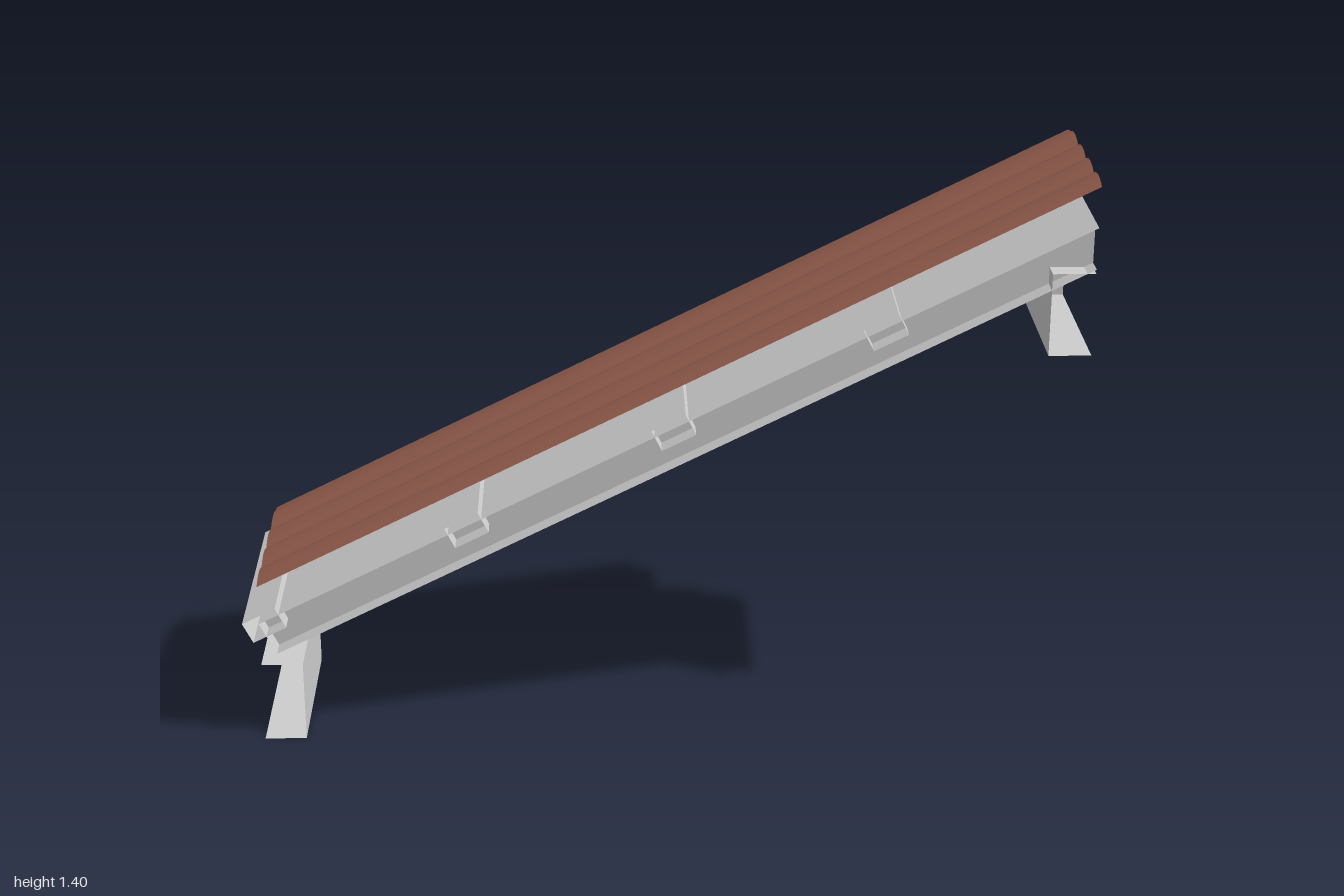
import * as THREE from 'three';
import { toCreasedNormals } from 'three/addons/utils/BufferGeometryUtils.js';

export function createModel() {
  const model = new THREE.Group();
  const grey = new THREE.MeshStandardMaterial({ color: 0xcccccc, side: THREE.DoubleSide });
  grey.name = 'structure grey';
  const brown = new THREE.MeshStandardMaterial({ color: 0x935d4d, side: THREE.DoubleSide });
  brown.name = 'tile brown';

  const FRONT = 0.27, LOW = -0.96, HIGH = 1;
  // point on a line parallel to the roof slope, at a given height offset
  const on = (x, offset) => [x, 0.5 * x + offset];

  // surface ruled between two rows of 3D points
  function ruled(a, b) {
    const p = [];
    for (let i = 0; i < a.length - 1; i++) {
      p.push(...a[i], ...b[i], ...a[i + 1], ...a[i + 1], ...b[i], ...b[i + 1]);
    }
    const g = new THREE.BufferGeometry();
    g.setAttribute('position', new THREE.Float32BufferAttribute(p, 3));
    return toCreasedNormals(g, 0.5);
  }
  function add(parent, name, geometry, material = grey) {
    const m = new THREE.Mesh(geometry, material);
    m.name = name;
    parent.add(m);
  }
  // folded sheet: an x-y outline carried along z
  const fold = (pts, z0, z1) => ruled(pts.map(p => [...p, z0]), pts.map(p => [...p, z1]));
  // flat plate: an x-y outline at one z
  function plate(pts, z) {
    const g = new THREE.ShapeGeometry(new THREE.Shape(pts.map(p => new THREE.Vector2(...p))));
    return g.translate(0, 0, z);
  }
  function group(name) {
    const g = new THREE.Group();
    g.name = name;
    model.add(g);
    return g;
  }

  // Wavy tile sheet: arches across the slope, last one turned down at the back edge
  const section = [];
  for (let k = 0; k < 4; k++) {
    for (let i = 0; i < 8; i++) {
      const t = i / 8;
      section.push([FRONT - 0.111 * (k + t), 0.888 + 0.048 * t * (1 - t)]);
    }
  }
  section.push([-0.174, 0.889], [-0.2, 0.885], [-0.23, 0.875], [-0.25, 0.861], [-0.27, 0.845]);
  const tileRow = x => section.map(([z, o]) => [...on(x, o), z]);
  add(model, 'tileSheet', ruled(tileRow(LOW), tileRow(HIGH)), brown);

  // Deck tray: floor and raised back edge
  const deck = group('deck');
  add(deck, 'deckFloor', fold([on(LOW, 0.79), on(HIGH, 0.79)], FRONT, -0.23));
  add(deck, 'deckBackEdge',
    plate([on(LOW, 0.79), on(HIGH, 0.79), on(HIGH, 0.845), on(LOW, 0.845)], -0.23));

  // Rafters below the deck, hollow and open at the cut ends
  const middle = group('middleRafter');
  const midSide = [on(LOW, 0.69), on(HIGH, 0.69), on(HIGH, 0.79), on(LOW, 0.79)];
  add(middle, 'rafterBottom', fold(midSide.slice(0, 2), 0.05, -0.05));
  for (const z of [0.05, -0.05]) add(middle, 'rafterSide', plate(midSide, z));

  const front = group('frontRafter');
  const frontSide = [on(LOW, 0.79), on(-0.92, 0.69), on(HIGH, 0.69), on(HIGH, 0.79)];
  add(front, 'rafterBottomAndEnd', fold(frontSide.slice(0, 3), FRONT, 0.22));
  add(front, 'rafterSide', plate(frontSide, 0.22));

  // Purlins across the slope, open at the front and capped at the back
  for (let i = 0; i < 4; i++) {
    const x = -0.975 + i * 0.49;
    const box = [on(x, 0.7475), on(x + 0.08, 0.7475), on(x + 0.055, 0.81), on(x - 0.025, 0.81)];
    const purlin = group('purlin');
    add(purlin, 'purlinSides', fold([...box, box[0]], FRONT, -0.26));
    add(purlin, 'purlinBackEnd', plate(box, -0.26));
  }

  // Wall beams: channels opening outwards, capped at the back
  function wallBeam(name, webX, openX, y0, y1) {
    const beam = group(name);
    const outline = [[openX, y0], [webX, y0], [webX, y1], [openX, y1]];
    add(beam, 'beamChannel', fold(outline, FRONT, -0.15));
    add(beam, 'beamBackEnd', plate(outline, -0.15));
  }
  wallBeam('lowerWallBeam', -0.86, LOW, 0, 0.2);
  wallBeam('upperWallBeam', 0.9, HIGH, 0.98, 1.18);

  return model;
}
